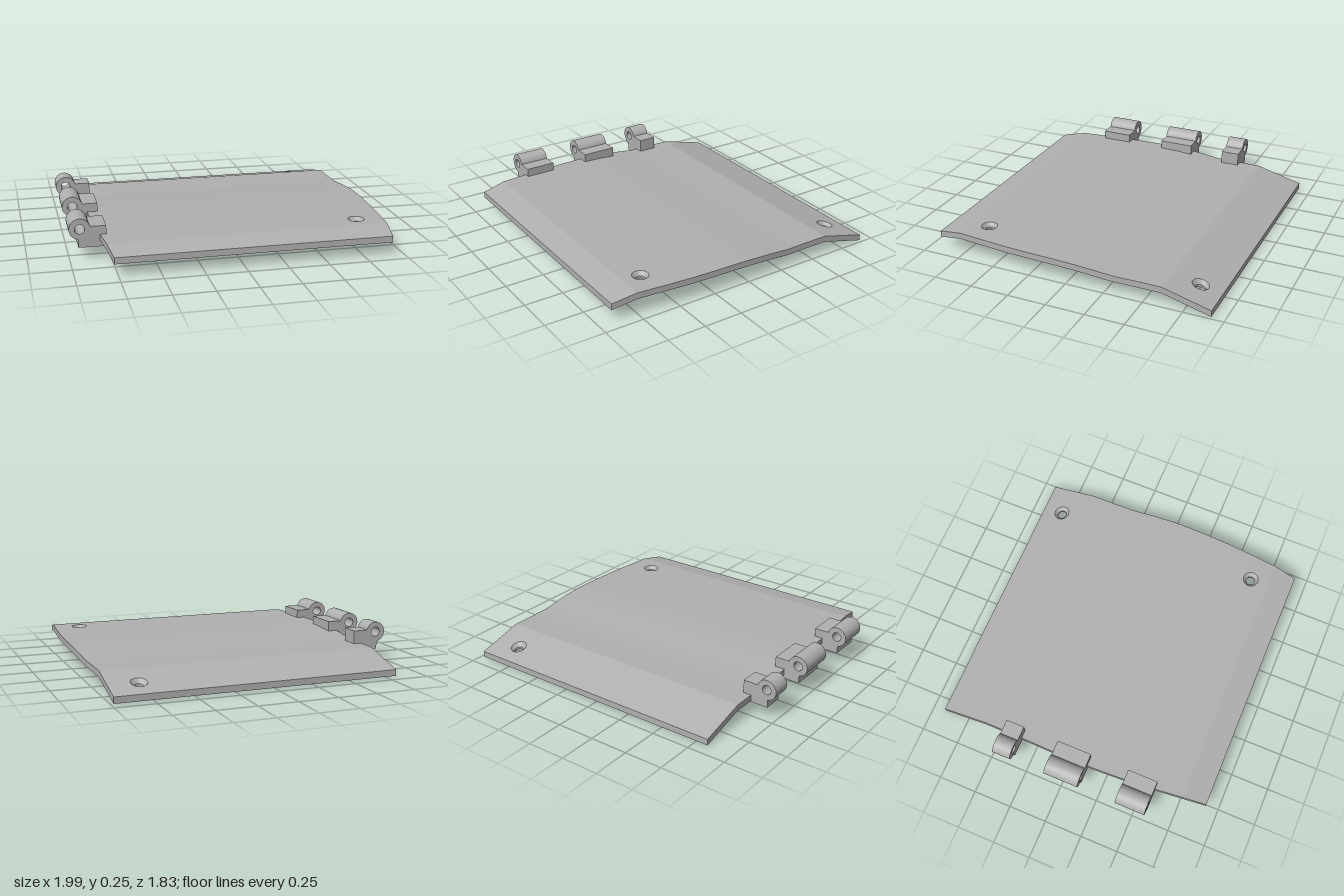
import * as THREE from 'three';
import { mergeGeometries, mergeVertices, toCreasedNormals } from 'three/addons/utils/BufferGeometryUtils.js';

const THICK = 0.04, MID = 0.076, SEG = 32;

// plate stations: z, top height, half width
const STATIONS = [
  [0.917, 0.124, 0.85], [0.76, 0.155, 0.872], [0.58, 0.155, 0.89], [0.4, 0.155, 0.906],
  [0.22, 0.155, 0.915], [0.1, 0.155, 0.918], [0, 0.152, 0.919], [-0.1, 0.145, 0.916],
  [-0.2, 0.136, 0.912], [-0.31, 0.125, 0.907], [-0.46, 0.125, 0.904], [-0.61, 0.125, 0.904],
  [-0.917, 0.045, 0.904],
];
const HOLES = [{ x: 0.79, z: 0.64 }, { x: 0.79, z: -0.78 }];
const R_TOP = 0.051, R_BOTTOM = 0.03;

// top height of the bent plate at a given z
function topAt(z) {
  for (let i = 0; i < STATIONS.length - 1; i++) {
    const [z0, y0] = STATIONS[i], [z1, y1] = STATIONS[i + 1];
    if (z >= z1 - 1e-6) return y0 + (y1 - y0) * (z0 - z) / (z0 - z1);
  }
  return STATIONS[STATIONS.length - 1][1];
}

const circle = (h, r) => Array.from({ length: SEG }, (_, i) => {
  const a = i / SEG * Math.PI * 2;
  return new THREE.Vector2(h.x + r * Math.cos(a), -h.z + r * Math.sin(a));
});

// one flat face of the plate between two stations, top or bottom
function stripFace(a, b, bottom) {
  const shape = new THREE.Shape([
    new THREE.Vector2(MID - a[2], -a[0]), new THREE.Vector2(MID + a[2], -a[0]),
    new THREE.Vector2(MID + b[2], -b[0]), new THREE.Vector2(MID - b[2], -b[0]),
  ]);
  for (const h of HOLES) {
    if (h.z < a[0] && h.z > b[0]) shape.holes.push(new THREE.Path(circle(h, bottom ? R_BOTTOM : R_TOP)));
  }
  const flat = new THREE.ShapeGeometry(shape);
  const p = flat.attributes.position;
  for (let i = 0; i < p.count; i++) {
    const z = -p.getY(i);
    p.setXYZ(i, p.getX(i), topAt(z) - (bottom ? THICK : 0), z);
  }
  if (bottom) flat.index.array.reverse();
  const g = flat.toNonIndexed();
  g.deleteAttribute('uv');
  g.deleteAttribute('normal');
  return g;
}

// closed band of quads from an upper ring to a lower ring
function band(upper, lower) {
  const v = [], n = upper.length;
  for (let i = 0; i < n; i++) {
    const j = (i + 1) % n;
    for (const q of [upper[i], lower[i], lower[j], upper[i], lower[j], upper[j]]) v.push(q.x, q.y, q.z);
  }
  return new THREE.BufferGeometry().setAttribute('position', new THREE.Float32BufferAttribute(v, 3));
}

function plateGeometry() {
  const parts = [];
  for (let i = 0; i < STATIONS.length - 1; i++) {
    for (const bottom of [false, true]) parts.push(stripFace(STATIONS[i], STATIONS[i + 1], bottom));
  }
  // outer rim
  const rim = [
    ...STATIONS.map(([z, y, w]) => new THREE.Vector3(MID + w, y, z)),
    ...STATIONS.map(([z, y, w]) => new THREE.Vector3(MID - w, y, z)).reverse(),
  ];
  const lower = rim.map((q) => new THREE.Vector3(q.x, q.y - THICK, q.z));
  parts.push(band(rim, lower));
  // countersunk holes
  for (const h of HOLES) {
    const ring = (r, drop) => circle(h, r).map((c) => new THREE.Vector3(c.x, topAt(-c.y) - drop, -c.y)).reverse();
    const neck = ring(R_BOTTOM, THICK * 0.6);
    parts.push(band(ring(R_TOP, 0), neck), band(neck, ring(R_BOTTOM, THICK)));
  }
  return toCreasedNormals(mergeVertices(mergeGeometries(parts), 1e-4), 0.15);
}

// hinge knuckle: block with a bored barrel, extruded along z
function knuckleGeometry(length) {
  const cx = -0.935, cy = 0.195;
  const shape = new THREE.Shape();
  shape.moveTo(-0.945, 0.08);
  shape.lineTo(-0.775, 0.08);
  shape.lineTo(-0.775, 0.21);
  shape.absarc(cx, cy, 0.065, 0.233, 4.56, false);
  shape.closePath();
  shape.holes.push(new THREE.Path().absarc(cx, cy, 0.03, 0, Math.PI * 2, true));
  const g = new THREE.ExtrudeGeometry(shape, { depth: length, bevelEnabled: false, curveSegments: 32 });
  return toCreasedNormals(g, 0.5);
}

export function createModel() {
  const model = new THREE.Group();
  model.name = 'hingedPlate';
  const grey = new THREE.MeshStandardMaterial({ color: 0xb0b0b0 });
  grey.name = 'plain grey';

  const add = (name, geometry, z = 0) => {
    const mesh = new THREE.Mesh(geometry, grey);
    mesh.name = name;
    mesh.position.z = z;
    model.add(mesh);
  };

  add('bentPlate', plateGeometry());
  const knuckles = [['frontKnuckle', 0.38, 0.58], ['middleKnuckle', -0.11, 0.122], ['backKnuckle', -0.47, -0.348]];
  for (const [name, z0, z1] of knuckles) add(name, knuckleGeometry(z1 - z0), z0);
  return model;
}
